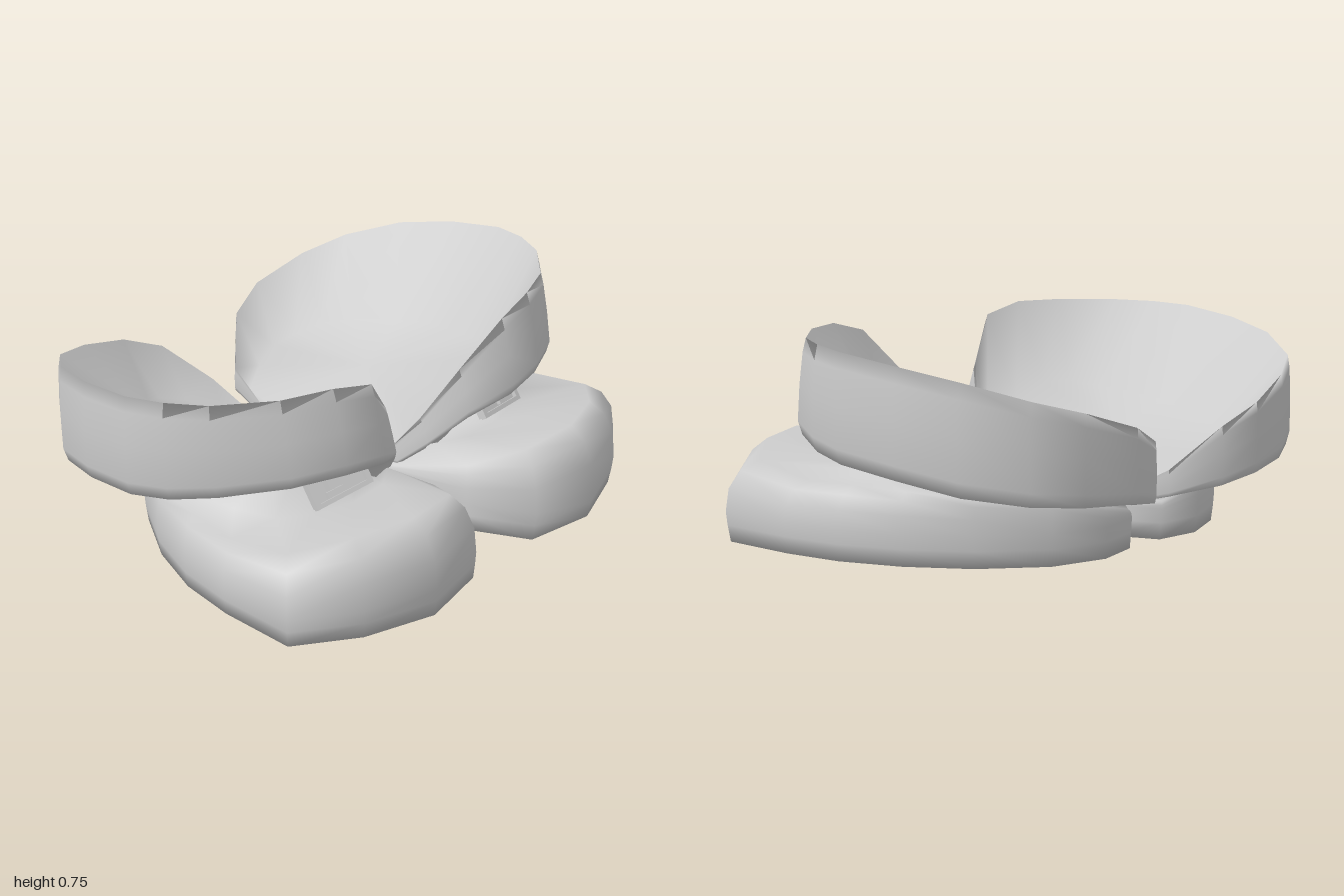
import * as THREE from 'three';

const material = new THREE.MeshStandardMaterial({ color: 0xcccccc, side: THREE.DoubleSide });
const lerp = THREE.MathUtils.lerp;

// Smooth skin over closed rings, listed from the underside out, up and in; a one-point ring is a cap centre.
function loft(name, rings, side) {
  const position = [], index = [], start = [];
  for (const ring of rings) {
    start.push(position.length / 3);
    for (const [x, y, z] of ring) position.push(x * side, y, z);
  }
  const at = (r, i) => start[r] + (i % rings[r].length);
  const triangle = (a, b, c) => {
    if (a === b || b === c || a === c) return;
    if (side > 0) index.push(a, b, c);
    else index.push(a, c, b);
  };
  for (let r = 0; r < rings.length - 1; r++) {
    const count = Math.max(rings[r].length, rings[r + 1].length);
    for (let i = 0; i < count; i++) {
      triangle(at(r, i), at(r, i + 1), at(r + 1, i));
      triangle(at(r, i + 1), at(r + 1, i + 1), at(r + 1, i));
    }
  }
  const geometry = new THREE.BufferGeometry();
  geometry.setAttribute('position', new THREE.Float32BufferAttribute(position, 3));
  geometry.setIndex(index);
  geometry.computeVertexNormals();
  const mesh = new THREE.Mesh(geometry, material);
  mesh.name = name;
  return mesh;
}

// Height of the bowl floor: tilted down to the back, and falling to the inner edge
const floorY = (x, z) => lerp(0.15, 0.42 + 0.14 * z, Math.min(1, x / 0.5));

// Bowl stations: outline x, z, rim height, lower edge height, floor x, z
const bowlStations = [
  [0.04, 0.22, 0.23, 0.17, 0.06, 0.20],
  [0.10, 0.31, 0.35, 0.25, 0.11, 0.28],
  [0.20, 0.42, 0.54, 0.37, 0.20, 0.31],
  [0.35, 0.50, 0.71, 0.44, 0.35, 0.29],
  [0.52, 0.48, 0.75, 0.46, 0.48, 0.26],
  [0.70, 0.40, 0.75, 0.455, 0.57, 0.21],
  [0.88, 0.23, 0.745, 0.43, 0.62, 0.08],
  [0.96, 0.08, 0.74, 0.40, 0.65, -0.05],
  [1.00, -0.07, 0.73, 0.38, 0.67, -0.18],
  [0.98, -0.30, 0.70, 0.35, 0.63, -0.30],
  [0.91, -0.51, 0.66, 0.31, 0.56, -0.47],
  [0.77, -0.69, 0.60, 0.28, 0.48, -0.57],
  [0.59, -0.77, 0.55, 0.26, 0.40, -0.63],
  [0.36, -0.81, 0.48, 0.24, 0.31, -0.67],
  [0.20, -0.77, 0.41, 0.21, 0.20, -0.64],
  [0.06, -0.64, 0.26, 0.17, 0.08, -0.58],
  [0.03, -0.45, 0.16, 0.12, 0.05, -0.42],
  [0.03, -0.12, 0.17, 0.13, 0.05, -0.12],
];

function bowl(side) {
  // Point on the wall: inset towards the floor, t up the wall, front leaning back
  const ring = (inset, t) => bowlStations.map(([x, z, top, low, fx, fz]) => [
    lerp(x, fx, inset), lerp(low, top, t),
    lerp(z, fz, inset) - 0.06 * Math.max(0, z / 0.5) * Math.max(0, t - 0.1),
  ]);
  const floor = (drop) => bowlStations.map((s) => [s[4], floorY(s[4], s[5]) - drop, s[5]]);
  return loft('bowl', [
    floor(0.03),
    ring(0.25, -0.07),
    ring(0.05, -0.05),
    ring(0, 0.1),
    ring(0, 0.5),
    ring(0.02, 0.85),
    ring(0.05, 1),
    floor(0),
    [[0.34, floorY(0.34, -0.2), -0.2]],
  ], side);
}

// Base stations: outline x, z, shoulder x, z, height, neck x, z
const baseStations = [
  [0.03, 0.20, 0.04, 0.20, 0.15, 0.06, 0.18],
  [0.06, 0.53, 0.09, 0.50, 0.24, 0.13, 0.25],
  [0.17, 0.76, 0.21, 0.67, 0.32, 0.24, 0.29],
  [0.44, 0.81, 0.44, 0.70, 0.34, 0.38, 0.29],
  [0.70, 0.72, 0.65, 0.63, 0.33, 0.50, 0.26],
  [0.91, 0.57, 0.82, 0.49, 0.29, 0.59, 0.20],
  [0.91, 0.28, 0.83, 0.24, 0.25, 0.65, 0.08],
  [0.88, 0.06, 0.81, 0.04, 0.255, 0.70, -0.06],
  [0.80, -0.16, 0.77, -0.16, 0.25, 0.71, -0.19],
  [0.67, -0.37, 0.66, -0.37, 0.235, 0.64, -0.38],
  [0.48, -0.55, 0.47, -0.54, 0.215, 0.47, -0.53],
  [0.27, -0.62, 0.27, -0.61, 0.18, 0.27, -0.60],
  [0.09, -0.59, 0.10, -0.58, 0.14, 0.10, -0.57],
  [0.03, -0.42, 0.04, -0.42, 0.12, 0.05, -0.41],
];

function base(side) {
  const outline = (y, scale) => baseStations.map(([x, z]) =>
    [0.03 + (x - 0.03) * scale, y, z * scale]);
  const neckFoot = baseStations.map(([, , sx, sz, sy, nx, nz]) =>
    [lerp(nx, sx, 0.25), Math.min(sy + 0.01, 0.26), lerp(nz, sz, 0.25)]);
  const neckTop = baseStations.map((s) => [s[5], floorY(s[5], s[6]) - 0.02, s[6]]);
  return loft('base', [
    [[0.4, 0, 0.1]],
    outline(0, 0.985),
    outline(0.06, 0.995),
    outline(0.11, 1),
    baseStations.map(([x, z, sx, sz, sy]) =>
      [lerp(x, sx, 0.1), lerp(0.11, sy, 0.45), lerp(z, sz, 0.1)]),
    baseStations.map(([x, z, sx, sz, sy]) =>
      [lerp(x, sx, 0.45), lerp(0.11, sy, 0.8), lerp(z, sz, 0.45)]),
    baseStations.map((s) => [s[2], s[4], s[3]]),
    neckFoot,
    neckTop,
    [[0.34, floorY(0.34, -0.2) - 0.02, -0.2]],
  ], side);
}

// Small framed latch on the front of the neck
function latch(side) {
  const group = new THREE.Group();
  group.name = 'latch';
  const box = (name, w, h, d, x, y, z) => {
    const mesh = new THREE.Mesh(new THREE.BoxGeometry(w, h, d), material);
    mesh.name = name;
    mesh.position.set(x * side, y, z);
    group.add(mesh);
  };
  box('latchPlate', 0.24, 0.11, 0.02, 0, 0, 0);
  for (const k of [-1, 1]) {
    box('latchFrameSide', 0.02, 0.12, 0.02, k * 0.115, 0, 0.015);
    box('latchFrameBar', 0.23, 0.016, 0.02, 0, k * 0.052, 0.015);
  }
  box('latchButton', 0.09, 0.04, 0.035, 0.01, 0.005, 0.022);
  box('latchCatch', 0.07, 0.02, 0.02, 0.03, -0.03, 0.015);
  group.position.set(0.43 * side, 0.34, 0.345);
  group.rotation.set(-0.6, 0.15 * side, 0);
  return group;
}

export function createModel() {
  const model = new THREE.Group();
  model.name = 'pairOfCups';
  for (const side of [1, -1]) {
    const half = new THREE.Group();
    half.name = side > 0 ? 'leftCup' : 'rightCup';
    half.add(base(side), bowl(side), latch(side));
    model.add(half);
  }
  return model;
}
